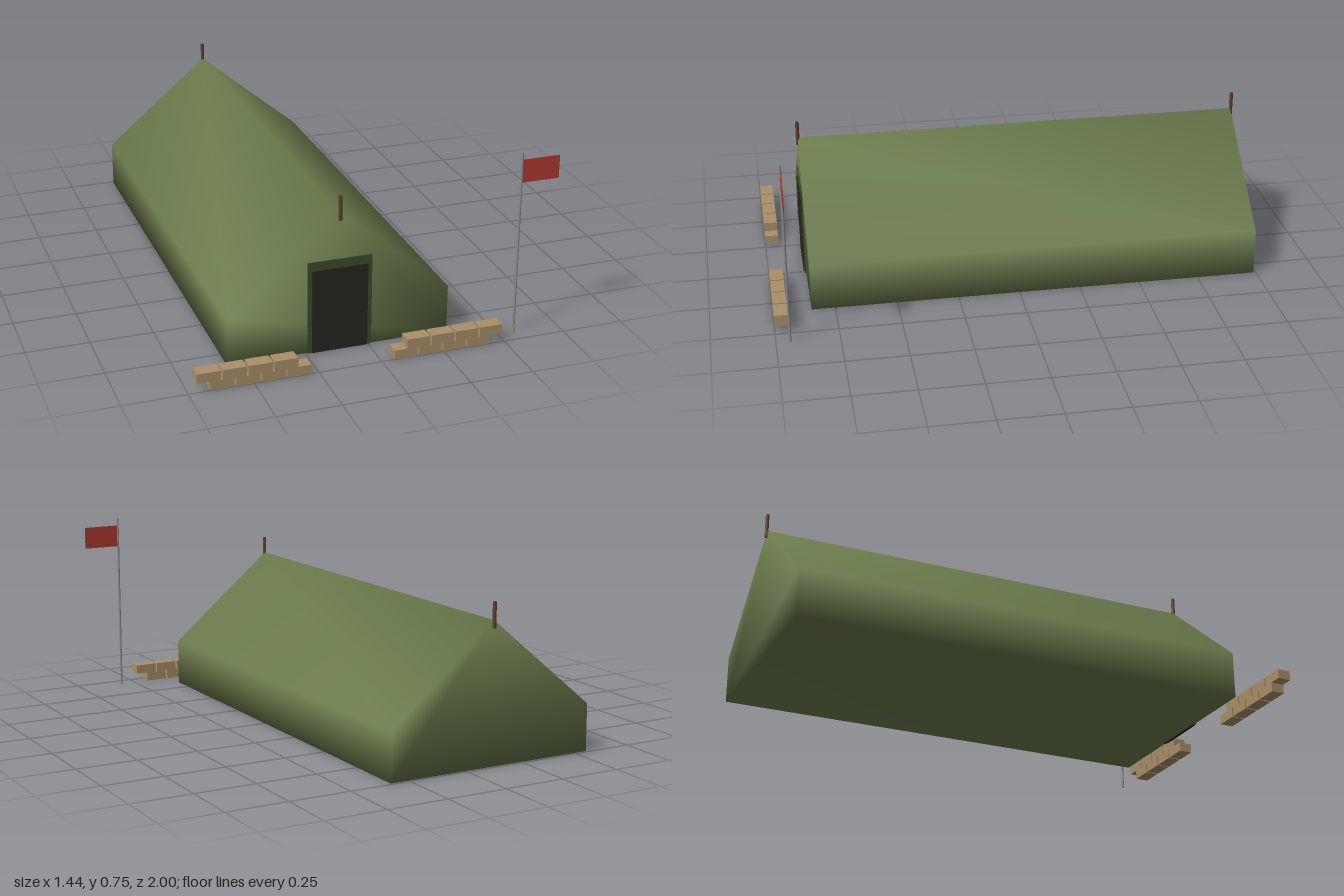
import * as THREE from 'three';

const mat = (color, side = THREE.FrontSide) => new THREE.MeshStandardMaterial({ color, side });

const CENTRE = -0.115; // x of the tent's ridge
const FRONT = 0.845, BACK = -0.99;

function add(parent, name, geometry, material, x, y, z) {
  const mesh = new THREE.Mesh(geometry, material);
  mesh.name = name;
  mesh.position.set(x, y, z);
  parent.add(mesh);
  return mesh;
}

// Five-sided prism with shared vertices, so the canvas is shaded softly
function tentGeometry() {
  const profile = [[0.442, 0], [0.442, 0.19], [0, 0.56], [-0.442, 0.19], [-0.442, 0]];
  const n = profile.length;
  const positions = [], index = [];
  for (const z of [FRONT, BACK]) for (const [x, y] of profile) positions.push(x, y, z);
  for (let i = 0; i < n; i++) {
    const j = (i + 1) % n;
    index.push(i, n + i, j, n + i, n + j, j);
  }
  for (let i = 1; i < n - 1; i++) index.push(0, i, i + 1, n, n + i + 1, n + i);
  const geometry = new THREE.BufferGeometry();
  geometry.setAttribute('position', new THREE.Float32BufferAttribute(positions, 3));
  geometry.setIndex(index);
  geometry.computeVertexNormals();
  return geometry;
}

// Two staggered rows of four bags; side is -1 or 1 about the tent's centre
function sandbagWall(side) {
  const wall = new THREE.Group();
  wall.name = side > 0 ? 'leftSandbagWall' : 'rightSandbagWall';
  const material = mat(0xa89068);
  const pitch = 0.0985, width = 0.091, height = 0.0375;
  const geometry = new THREE.BoxGeometry(width, height, 0.055);
  for (let row = 0; row < 2; row++) {
    for (let i = 0; i < 4; i++) {
      const offset = 0.166 + row * 0.05 + width / 2 + i * pitch;
      add(wall, 'sandbag', geometry, material, CENTRE + side * offset, height * (row + 0.5), 0.9725);
    }
  }
  return wall;
}

export function createModel() {
  const model = new THREE.Group();
  model.name = 'armyTent';

  // Canvas body
  add(model, 'tentCanvas', tentGeometry(), mat(0x6b7a4b, THREE.DoubleSide), CENTRE, 0, 0);

  // Doorway: surround and dark opening
  add(model, 'doorSurround', new THREE.BoxGeometry(0.255, 0.375, 0.012), mat(0x3d4a2a), CENTRE, 0.1875, FRONT);
  add(model, 'doorOpening', new THREE.BoxGeometry(0.222, 0.34, 0.012), mat(0x22261f), CENTRE, 0.17, FRONT + 0.003);

  // Ridge pole tips at both ends
  const tip = new THREE.CylinderGeometry(0.0075, 0.0075, 0.1, 8);
  const wood = mat(0x5f4029);
  add(model, 'frontRidgePole', tip, wood, CENTRE, 0.58, FRONT);
  add(model, 'backRidgePole', tip, wood, CENTRE, 0.58, BACK - 0.002);

  // Sandbag walls either side of the entrance
  for (const side of [-1, 1]) model.add(sandbagWall(side));

  // Flag on its pole
  add(model, 'flagPole', new THREE.CylinderGeometry(0.005, 0.005, 0.75, 8), mat(0x8c8c8c), 0.564, 0.375, 0.945);
  add(model, 'flag', new THREE.BoxGeometry(0.15, 0.092, 0.003), mat(0xb03a30), 0.643, 0.673, 0.945);

  return model;
}
